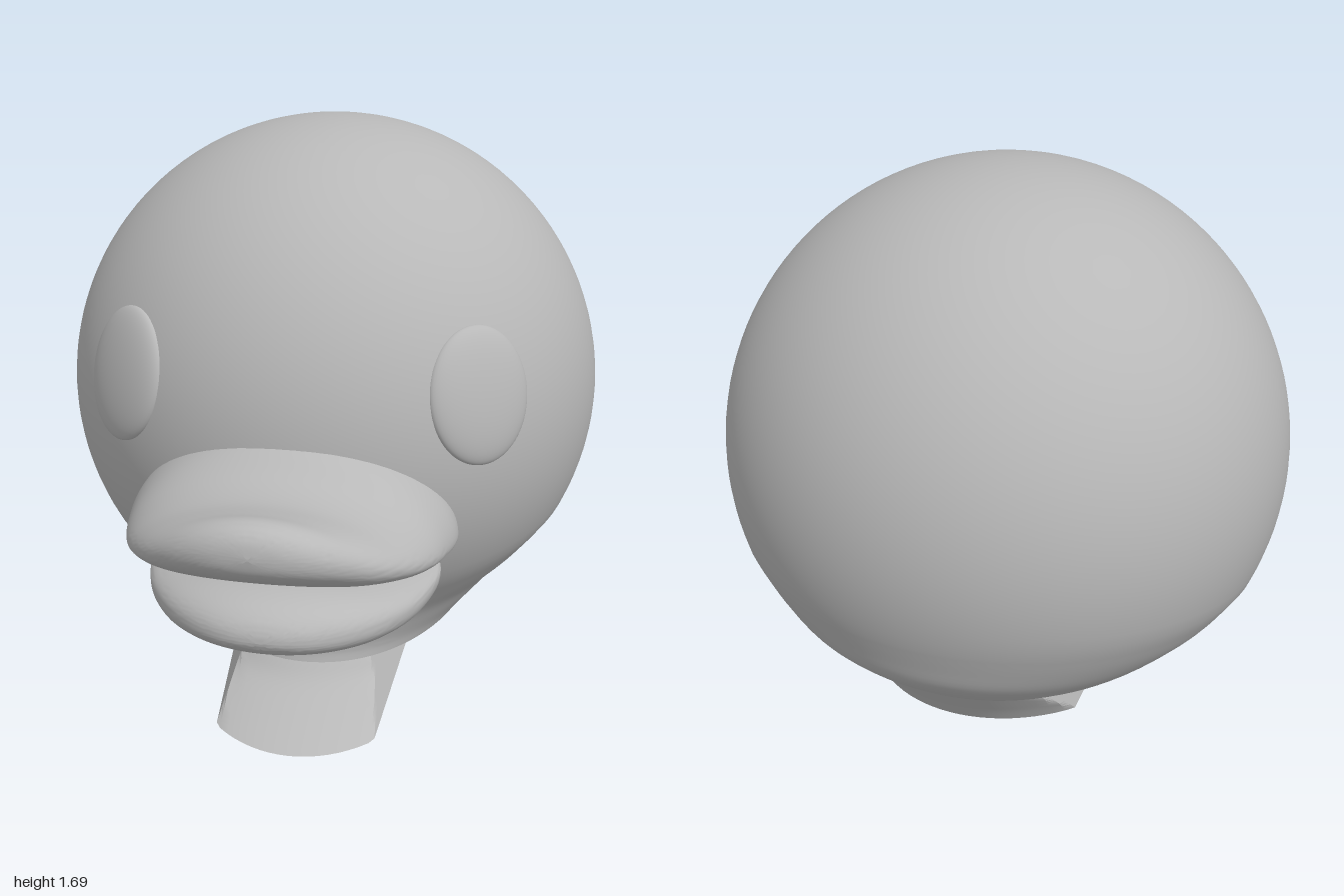
import * as THREE from 'three';
import { toCreasedNormals } from 'three/addons/utils/BufferGeometryUtils.js';

const SEG = 96;

// Skin a stack of closed rings; point(row, angle) gives [x, y, z]
function loft(rows, point, crease = 0.5) {
  const pos = [], idx = [];
  rows.forEach((row, i) => {
    for (let j = 0; j < SEG; j++) {
      pos.push(...point(row, (j / SEG) * Math.PI * 2));
      if (i === rows.length - 1) continue;
      const a = i * SEG + j, d = i * SEG + (j + 1) % SEG;
      idx.push(a, a + SEG, d + SEG, a, d + SEG, d);
    }
  });
  const geo = new THREE.BufferGeometry();
  geo.setAttribute('position', new THREE.Float32BufferAttribute(pos, 3));
  geo.setIndex(idx);
  return toCreasedNormals(geo, crease);
}

// Smoothly interpolate a short table of ring values
function smooth(table, steps) {
  const out = [], last = table.length - 1;
  const at = k => table[Math.max(0, Math.min(last, k))];
  for (let k = 0; k < last; k++) {
    for (let s = 0; s < steps; s++) {
      const t = s / steps;
      out.push(at(k).map((p1, c) => {
        const p0 = at(k - 1)[c], p2 = at(k + 1)[c], p3 = at(k + 2)[c];
        return 0.5 * (2 * p1 + (p2 - p0) * t + (2 * p0 - 5 * p1 + 4 * p2 - p3) * t * t
          + (3 * p1 - p0 - 3 * p2 + p3) * t * t * t);
      }));
    }
  }
  out.push(table[last]);
  return out;
}

export function createModel() {
  const model = new THREE.Group();
  const grey = new THREE.MeshStandardMaterial({ color: 0xb8b8b8 });
  grey.name = 'plain grey';
  const add = (name, geo, parent = model) => {
    const mesh = new THREE.Mesh(geo, grey);
    mesh.name = name;
    parent.add(mesh);
    return mesh;
  };

  // Head and neck share a frame tilted to match the sloping neck cut
  const centre = new THREE.Vector3(0, 0.89, -0.22);
  const body = new THREE.Group();
  body.name = 'headAndNeck';
  body.position.copy(centre);
  body.rotation.x = 0.185;
  model.add(body);

  // Rows: height, front reach, back reach, half width
  const ring = ([y, f, b, w], a) =>
    [w * Math.sin(a), y, (f - b) / 2 + (f + b) / 2 * Math.cos(a)];
  const rows = [];
  for (let k = 0; k < 40; k++) {
    const t = (k / 40) * Math.PI * 0.64, s = Math.sin(t);
    rows.push([0.8 * Math.cos(t), 0.78 * s, 0.78 * s, 0.795 * s]);
  }
  rows.push(...smooth([
    [-0.34, 0.706, 0.706, 0.712],
    [-0.41, 0.672, 0.67, 0.66],
    [-0.48, 0.648, 0.63, 0.59],
    [-0.54, 0.642, 0.56, 0.53],
    [-0.58, 0.645, 0.5, 0.485],
    [-0.61, 0.655, 0.45, 0.452],
  ], 4));
  rows.push([-0.61, 0.1, -0.1, 0]);
  add('head', loft(rows, ring), body);

  // Dovetail tongue under the neck: flaring rings trimmed by slanted side walls
  const tongueRows = smooth([
    [-0.61, 0.655, 0.45, 0.452],
    [-0.65, 0.705, 0.41, 0.442],
    [-0.69, 0.8, 0.37, 0.44],
    [-0.734, 0.921, 0.331, 0.44],
  ], 4);
  tongueRows.push([-0.734, 0.29, -0.29, 0]);
  add('neckTongue', loft(tongueRows, (row, a) => {
    const [x, y, z] = ring(row, a);
    const wall = 0.238 - 0.078 * z + 0.06 * (-0.61 - y) / 0.124;
    return [Math.max(-wall, Math.min(wall, x)), y, z];
  }), body);

  // Bill halves; rows: z, half width, top, edge height, bottom
  const billPoint = (peak, arch) => ([z, w, top, edge, bottom], a) => {
    const c = Math.cos(a), s = Math.sin(a);
    const y = c > 0
      ? edge + (top - edge) * Math.pow(c, peak)
      : edge + (bottom - edge) * Math.pow(-c, 0.8) + arch * w * c * c;
    return [w * s, y, z];
  };
  add('upperBill', loft(smooth([
    [0.28, 0.40, 0.97, 0.68, 0.61],
    [0.36, 0.44, 0.975, 0.68, 0.6],
    [0.45, 0.455, 0.975, 0.685, 0.6],
    [0.55, 0.44, 0.955, 0.695, 0.61],
    [0.65, 0.415, 0.9, 0.71, 0.63],
    [0.75, 0.375, 0.883, 0.735, 0.655],
    [0.85, 0.312, 0.9, 0.77, 0.69],
    [0.92, 0.235, 0.919, 0.805, 0.73],
    [0.965, 0.16, 0.912, 0.83, 0.765],
    [0.99, 0.085, 0.885, 0.843, 0.8],
    [1.0, 0, 0.845, 0.845, 0.845],
  ], 5), billPoint(1.2, 0.06), 1.2));
  add('lowerBill', loft(smooth([
    [0.28, 0.37, 0.61, 0.56, 0.42],
    [0.36, 0.4, 0.61, 0.558, 0.412],
    [0.45, 0.405, 0.612, 0.555, 0.412],
    [0.6, 0.368, 0.63, 0.55, 0.432],
    [0.72, 0.302, 0.643, 0.55, 0.455],
    [0.8, 0.224, 0.633, 0.55, 0.48],
    [0.85, 0.142, 0.607, 0.55, 0.505],
    [0.873, 0.07, 0.578, 0.55, 0.53],
    [0.88, 0, 0.55, 0.55, 0.55],
  ], 5), billPoint(0.9, 0), 1.2));

  // Shallow oval eyes set into the head
  const eyeGeo = new THREE.SphereGeometry(1, 48, 32);
  for (const side of [1, -1]) {
    const out = new THREE.Vector3(side * 0.49, 0.17, 0.57).normalize();
    const eye = add(side > 0 ? 'leftEye' : 'rightEye', eyeGeo);
    eye.position.copy(centre).addScaledVector(out, 0.767);
    eye.scale.set(0.158, 0.19, 0.045);
    eye.lookAt(eye.position.clone().add(out));
  }

  return model;
}
